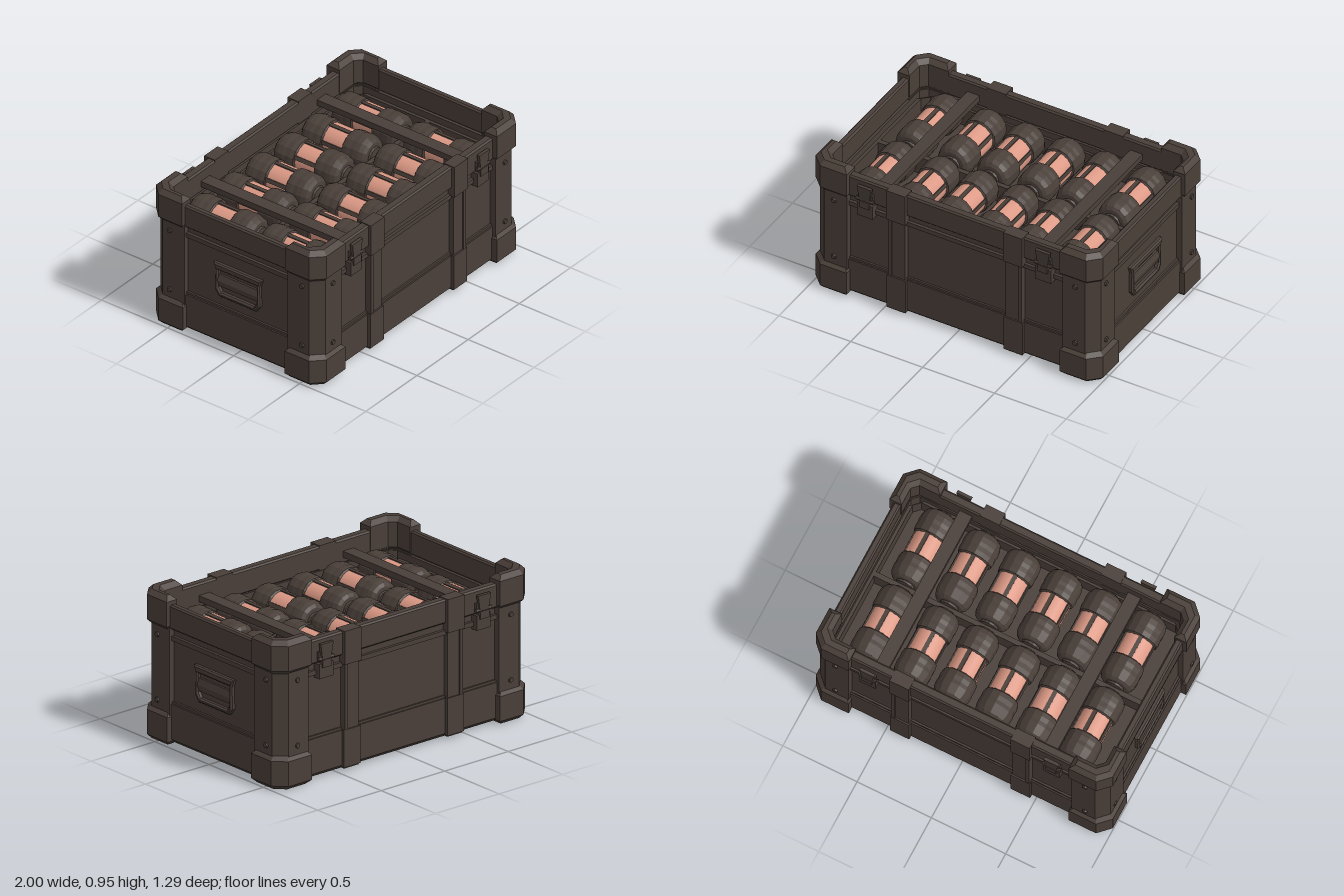
import * as THREE from 'three';

export function createModel() {
  const model = new THREE.Group();
  const dark = new THREE.MeshStandardMaterial({ color: 0x4a3f39 });
  dark.name = 'darkBrown';
  const salmon = new THREE.MeshStandardMaterial({ color: 0xdc9985 });
  salmon.name = 'salmonGlow';

  const add = (name, geo, mat = dark, parent = model) => {
    const mesh = new THREE.Mesh(geo, mat);
    mesh.name = name;
    parent.add(mesh);
    return mesh;
  };
  // Box given by its minimum and maximum corners
  const box = (name, x0, x1, y0, y1, z0, z1, parent = model) => {
    const geo = new THREE.BoxGeometry(Math.abs(x1 - x0), y1 - y0, Math.abs(z1 - z0));
    geo.translate((x0 + x1) / 2, (y0 + y1) / 2, (z0 + z1) / 2);
    return add(name, geo, dark, parent);
  };
  const polygon = (pts) => new THREE.Shape(pts.map(([x, y]) => new THREE.Vector2(x, y)));
  const flat = (geo) => {
    const g = geo.index ? geo.toNonIndexed() : geo;
    g.computeVertexNormals();
    return g;
  };
  // Extrudes a plan outline upwards between two heights, with bevelled ends
  const upright = (shape, y0, y1, bevel = 0) => {
    const geo = new THREE.ExtrudeGeometry(shape, {
      depth: y1 - y0 - 2 * bevel, bevelEnabled: bevel > 0, bevelThickness: bevel,
      bevelSize: bevel, bevelOffset: -bevel, bevelSegments: 1, curveSegments: 1,
    });
    geo.translate(0, 0, y0 + bevel);
    geo.rotateX(-Math.PI / 2);
    return geo;
  };
  // Rectangle with cut corners
  const plan = (x, z, c) => polygon([[-x + c, -z], [x - c, -z], [x, -z + c], [x, z - c],
    [x - c, z], [-x + c, z], [-x, z - c], [-x, -z + c]]);
  const ring = (name, y0, y1, ox, oz, ix, iz, bevel = 0) => {
    const s = plan(ox, oz, 0.075);
    s.holes.push(plan(ix, iz, 0.04));
    add(name, upright(s, y0, y1, bevel));
  };

  // Case body in stacked layers
  add('base', upright(plan(0.965, 0.605, 0.075), 0.015, 0.09, 0.025));
  ring('lowerBand', 0.06, 0.265, 0.965, 0.605, 0.915, 0.545);
  ring('lowerBandEdge', 0.265, 0.28, 0.955, 0.596, 0.915, 0.545);
  ring('wallPanels', 0.27, 0.67, 0.942, 0.584, 0.915, 0.545);
  ring('lip', 0.67, 0.70, 0.96, 0.603, 0.915, 0.545);
  ring('groove', 0.70, 0.745, 0.942, 0.584, 0.915, 0.545);
  ring('rim', 0.745, 0.90, 0.972, 0.61, 0.925, 0.55, 0.01);
  box('trayFloor', -0.92, 0.92, 0.54, 0.58, -0.55, 0.55);
  ring('trayFrame', 0.57, 0.7, 0.918, 0.548, 0.895, 0.53);
  box('trayDivider', -0.9, 0.9, 0.57, 0.7, -0.016, 0.016);

  // L-shaped corner outline with a cut-off outer corner
  const corner = (sx, sz, ox, oz, ix, iz, ex, ez, cut) => polygon([
    [ex, iz], [ex, oz], [ox - cut, oz], [ox, oz - cut], [ox, ez], [ix, ez],
    [ix, iz - 0.04], [ix - 0.04, iz],
  ].map(([x, z]) => [x * sx, -z * sz]));

  for (const sx of [-1, 1]) for (const sz of [-1, 1]) {
    // Corner caps and posts
    add('topCornerCap', upright(corner(sx, sz, 1, 0.645, 0.918, 0.548, 0.74, 0.39, 0.075), 0.735, 0.955, 0.03));
    add('cornerPost', upright(corner(sx, sz, 0.978, 0.625, 0.92, 0.55, 0.75, 0.39, 0.07), 0.19, 0.75));
    add('bottomCornerCap', upright(corner(sx, sz, 1, 0.645, 0.9, 0.53, 0.74, 0.385, 0.075), 0, 0.215, 0.028));

    // Rivets on both faces of each post
    for (const y of [0.265, 0.685]) {
      const front = new THREE.CylinderGeometry(0.016, 0.019, 0.016, 6);
      front.rotateX(sz * Math.PI / 2);
      front.translate(sx * 0.84, y, sz * 0.627);
      add('rivet', flat(front));
      const side = new THREE.CylinderGeometry(0.016, 0.019, 0.016, 6);
      side.rotateZ(-sx * Math.PI / 2);
      side.translate(sx * 0.98, y, sz * 0.5);
      add('rivet', flat(side));
    }

    // Vertical straps, thicker over the rim and the base
    const strap = new THREE.Group();
    strap.name = 'strap';
    model.add(strap);
    box('strapBand', sx * 0.35, sx * 0.465, 0.02, 0.9, sz * 0.56, sz * 0.617, strap);
    box('strapTop', sx * 0.342, sx * 0.472, 0.69, 0.905, sz * 0.55, sz * 0.632, strap);
    box('strapFoot', sx * 0.342, sx * 0.472, 0.03, 0.27, sz * 0.56, sz * 0.627, strap);
    box('strapRidge', sx * 0.44, sx * 0.465, 0.26, 0.7, sz * 0.6, sz * 0.625, strap);

    // Latch: catch plate, hinge pin and flared lever
    const latch = new THREE.Group();
    latch.name = 'latch';
    latch.position.set(sx * 0.62, 0, sz * 0.6);
    latch.rotation.y = sz > 0 ? 0 : Math.PI;
    model.add(latch);
    box('catchPlate', -0.055, 0.055, 0.65, 0.745, -0.015, 0.035, latch);
    box('catchHook', -0.035, 0.035, 0.72, 0.77, 0, 0.045, latch);
    box('latchBase', -0.05, 0.05, 0.76, 0.82, 0, 0.028, latch);
    const lever = new THREE.ExtrudeGeometry(
      polygon([[-0.03, 0.75], [0.03, 0.75], [0.05, 0.875], [-0.05, 0.875]]),
      { depth: 0.02, bevelEnabled: false });
    lever.rotateX(0.04);
    lever.translate(0, 0, -0.01);
    add('latchLever', lever, dark, latch);
    const pin = new THREE.CylinderGeometry(0.013, 0.013, 0.12, 6);
    pin.rotateZ(Math.PI / 2);
    pin.translate(0, 0.775, 0.03);
    add('latchPin', flat(pin), dark, latch);
  }

  // Side handles: flared frame and grip
  for (const sx of [-1, 1]) {
    const handle = new THREE.Group();
    handle.name = 'sideHandle';
    handle.position.x = sx * 0.935;
    handle.rotation.y = sx * Math.PI / 2;
    model.add(handle);
    const frame = polygon([[-0.14, 0.35], [0.14, 0.35], [0.17, 0.39], [0.165, 0.53],
      [0.182, 0.58], [-0.182, 0.58], [-0.165, 0.53], [-0.17, 0.39]]);
    frame.holes.push(polygon([[-0.125, 0.38], [0.125, 0.38], [0.145, 0.41], [0.145, 0.535], [-0.145, 0.535], [-0.145, 0.41]]));
    add('handleFrame', new THREE.ExtrudeGeometry(frame, {
      depth: 0.025, bevelThickness: 0.01, bevelSize: 0.01, bevelOffset: -0.01, bevelSegments: 1 }), dark, handle);
    const grip = new THREE.CylinderGeometry(0.03, 0.03, 0.3, 6);
    grip.rotateZ(Math.PI / 2);
    grip.scale(1, 1.6, 0.8);
    grip.translate(0, 0.46, 0.008);
    add('handleGrip', flat(grip), dark, handle);
  }

  // Hold-down bars across the tray
  for (const sx of [-1, 1]) box('crossBar', sx * 0.525, sx * 0.61, 0.785, 0.825, -0.553, 0.553);

  // Canisters: wrapped ends around a glowing core, held by struts
  const endProfile = [[0, 0.07], [0.098, 0.07], [0.112, 0.08], [0.117, 0.11], [0.115, 0.14],
    [0.118, 0.165], [0.115, 0.2], [0.104, 0.228], [0.085, 0.242], [0.06, 0.244],
    [0.055, 0.257], [0, 0.257]].map(([r, t]) => new THREE.Vector2(r, t));
  const endGeo = new THREE.LatheGeometry(endProfile, 14);
  endGeo.rotateX(Math.PI / 2);
  const endFlat = flat(endGeo);
  const coreGeo = new THREE.CylinderGeometry(0.1, 0.1, 0.15, 20);
  coreGeo.rotateX(Math.PI / 2);
  const strutGeo = new THREE.BoxGeometry(0.026, 0.014, 0.16);
  strutGeo.translate(0, 0.098, 0);

  [-0.705, -0.41, -0.14, 0.14, 0.41, 0.705].forEach((x, i) => {
    for (const sz of [-1, 1]) {
      const can = new THREE.Group();
      can.name = 'canister';
      can.position.set(x, 0.695, sz * 0.272);
      can.rotation.z = 0.15 * Math.sin(i * 2.1 + sz);
      model.add(can);
      add('canisterEnd', endFlat, dark, can);
      add('canisterEnd', endFlat, dark, can).rotation.y = Math.PI;
      add('canisterCore', coreGeo, salmon, can);
      for (let k = 0; k < 5; k++) add('canisterStrut', strutGeo, dark, can).rotation.z = k * Math.PI * 0.4;
    }
  });

  return model;
}
